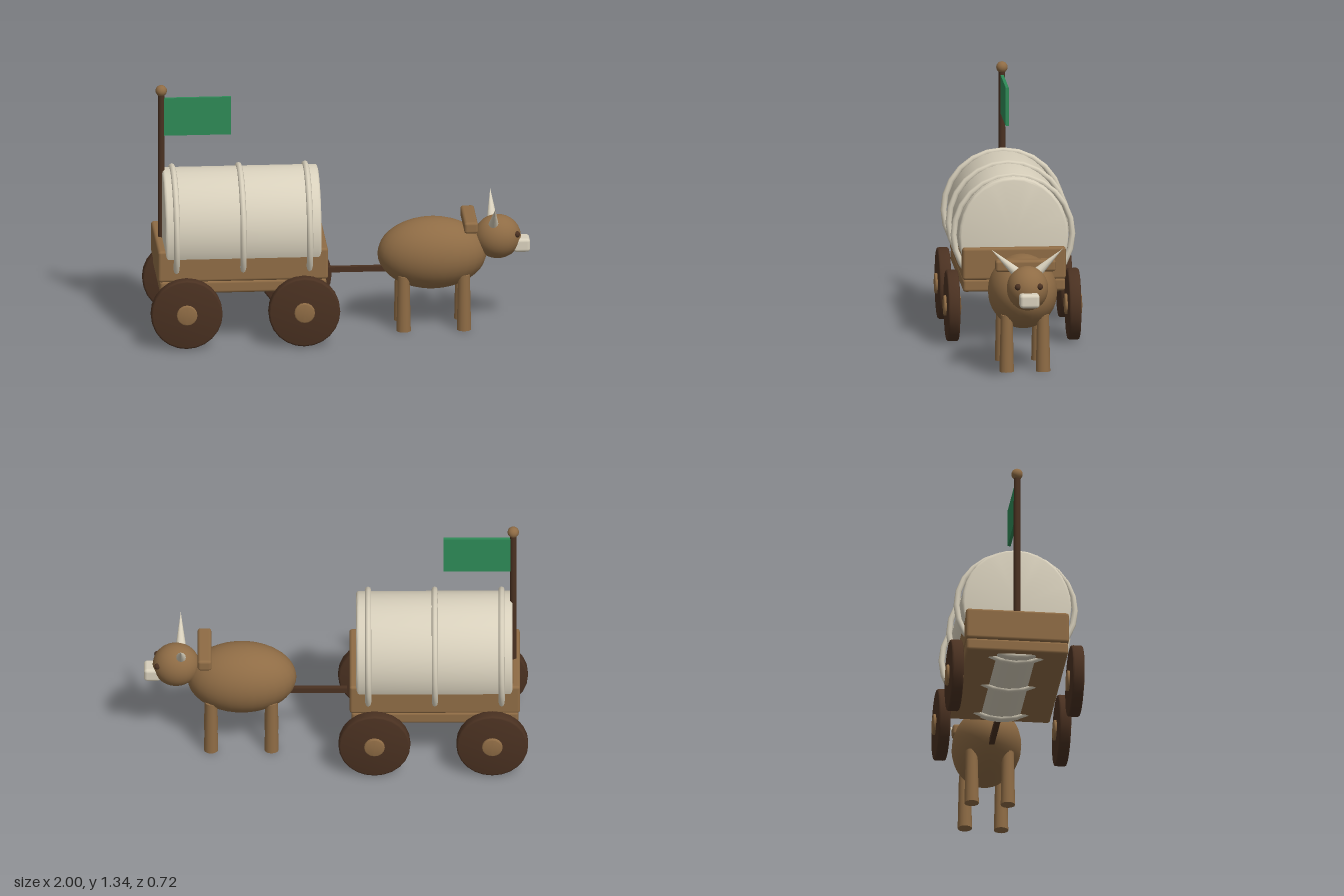
import * as THREE from 'three';
import { toCreasedNormals } from 'three/addons/utils/BufferGeometryUtils.js';
import { RoundedBoxGeometry } from 'three/addons/geometries/RoundedBoxGeometry.js';

function material(name, color) {
  const m = new THREE.MeshStandardMaterial({ color });
  m.name = name;
  return m;
}

// Round disc or drum along y with softened rims
function drum(r, h, bevel, segments) {
  const pts = [new THREE.Vector2(0, -h / 2)];
  for (const side of [-1, 1]) {
    for (let i = 0; i <= 3; i++) {
      const a = (side < 0 ? i - 3 : i) * Math.PI / 6;
      pts.push(new THREE.Vector2(r - bevel + bevel * Math.cos(a), side * (h / 2 - bevel) + bevel * Math.sin(a)));
    }
  }
  pts.push(new THREE.Vector2(0, h / 2));
  return toCreasedNormals(new THREE.LatheGeometry(pts, segments), 0.6);
}

export function createModel() {
  const wood = material('warm brown', 0x8f6c45);
  const dark = material('dark wood', 0x4a3121);
  const cream = material('cream', 0xd8d0bc);
  const green = material('flag green', 0x2e8b57);
  const model = new THREE.Group();
  model.name = 'oxCart';

  const group = (name) => {
    const g = new THREE.Group();
    g.name = name;
    model.add(g);
    return g;
  };
  const add = (parent, name, geometry, mat, x, y, z) => {
    const mesh = new THREE.Mesh(geometry, mat);
    mesh.name = name;
    mesh.position.set(x, y, z);
    parent.add(mesh);
    return mesh;
  };
  const block = (w, h, d, r) => new RoundedBoxGeometry(w, h, d, 2, r);

  // Wagon bed, with low walls above the floor
  const wagon = group('wagon');
  add(wagon, 'floor', block(0.87, 0.068, 0.534, 0.015), wood, -0.515, 0.315, 0);
  for (const s of [-1, 1]) {
    add(wagon, 'sideBoard', block(0.888, 0.17, 0.045, 0.015), wood, -0.515, 0.43, s * 0.2475);
    add(wagon, 'endBoard', block(0.045, 0.17, 0.54, 0.015), wood, -0.515 + s * 0.4215, 0.43, 0);
  }

  // Canvas barrel cover and its hoops
  const cover = drum(0.31, 0.815, 0.015, 32).rotateZ(Math.PI / 2).scale(1, 1, 0.925);
  add(wagon, 'cover', cover, cream, -0.513, 0.57, 0);
  const hoop = new THREE.TorusGeometry(0.31, 0.016, 8, 24).rotateY(Math.PI / 2);
  for (const x of [-0.863, -0.515, -0.168]) add(wagon, 'hoop', hoop, cream, x, 0.57, 0);

  // Wheels and hubs
  const wheel = drum(0.187, 0.062, 0.01, 24).rotateX(Math.PI / 2);
  const hub = drum(0.054, 0.09, 0.006, 16).rotateX(Math.PI / 2);
  for (const x of [-0.814, -0.2]) {
    for (const s of [-1, 1]) {
      add(wagon, 'wheel', wheel, dark, x, 0.19, s * 0.316);
      add(wagon, 'hub', hub, wood, x, 0.19, s * 0.316);
    }
  }

  // Draw pole to the ox
  add(wagon, 'drawPole', new THREE.BoxGeometry(0.34, 0.028, 0.028), dark, 0.113, 0.314, 0);

  // Flag, mast and ball
  const banner = group('banner');
  add(banner, 'mast', new THREE.CylinderGeometry(0.017, 0.018, 0.9, 12), dark, -0.924, 0.85, 0);
  add(banner, 'mastBall', new THREE.SphereGeometry(0.03, 16, 12), wood, -0.924, 1.31, 0);
  add(banner, 'flag', new THREE.BoxGeometry(0.35, 0.204, 0.016), green, -0.735, 1.168, 0);

  // Ox body, head and muzzle
  const ox = group('ox');
  const ball = new THREE.SphereGeometry(1, 28, 20);
  add(ox, 'body', ball, wood, 0.49, 0.395, 0).scale.set(0.285, 0.19, 0.18);
  add(ox, 'head', ball, wood, 0.832, 0.475, 0).scale.set(0.122, 0.116, 0.108);
  add(ox, 'muzzle', block(0.09, 0.074, 0.104, 0.018), cream, 0.955, 0.434, 0);
  add(ox, 'yoke', block(0.072, 0.062, 0.315, 0.015), wood, 0.684, 0.569, 0);

  // Mirrored eyes, horns and legs
  const eye = new THREE.SphereGeometry(0.017, 12, 8);
  const horn = new THREE.ConeGeometry(0.027, 0.18, 12);
  const leg = new THREE.CylinderGeometry(0.031, 0.038, 0.3, 14);
  for (const s of [-1, 1]) {
    add(ox, 'eye', eye, dark, 0.929, 0.5, s * 0.057);
    const h = add(ox, 'horn', horn, cream, 0.807, 0.616, s * 0.121);
    h.rotation.x = s * 0.82;
    for (const x of [0.335, 0.65]) add(ox, 'leg', leg, wood, x, 0.15, s * 0.095);
  }
  return model;
}
